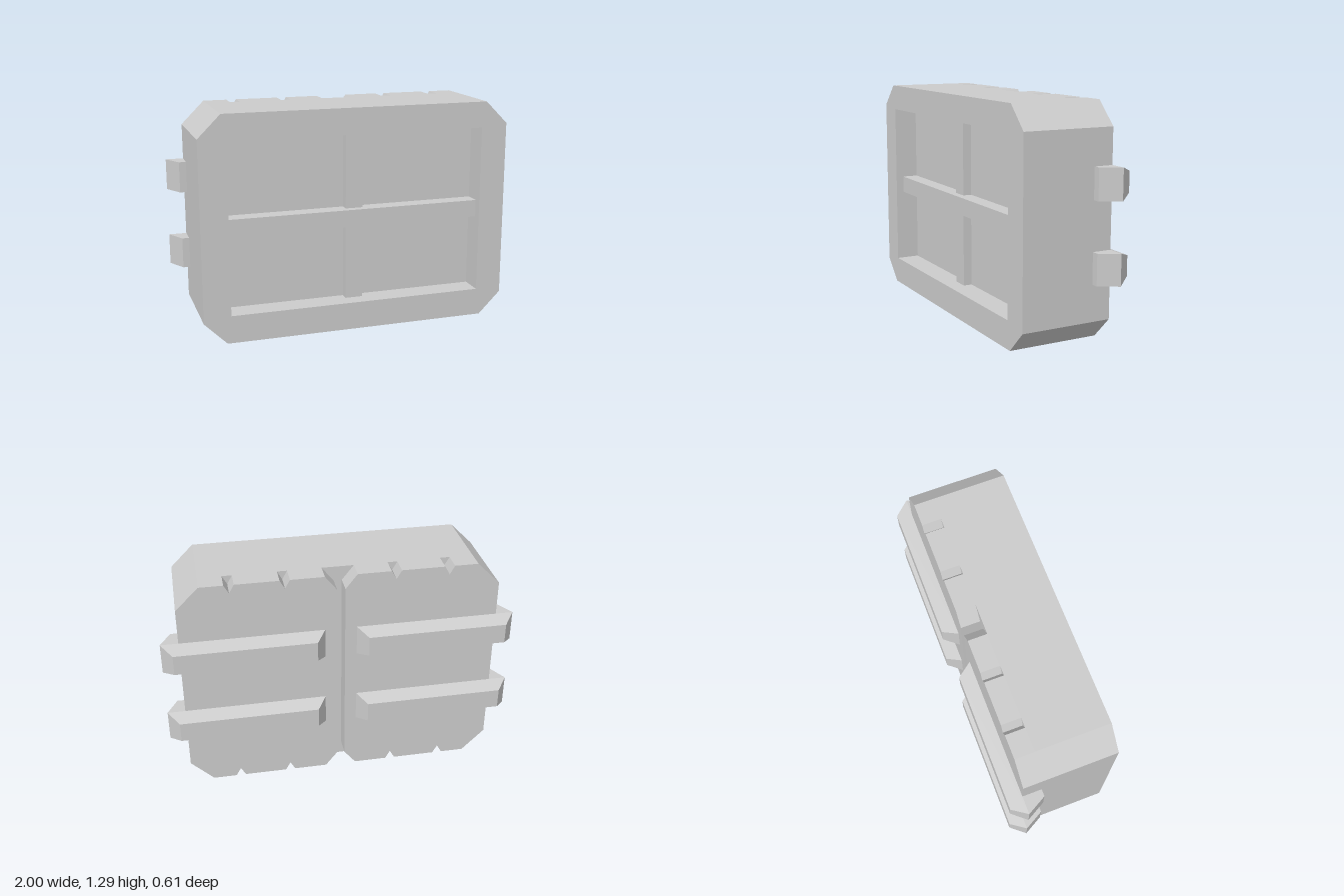
import * as THREE from 'three';

const H = 1.29, BACK = -0.225, GROOVE = -0.115, FLOOR = 0.165, FRONT = 0.305;

export function createModel() {
  const model = new THREE.Group();
  model.name = 'panelBlock';
  const material = new THREE.MeshStandardMaterial({ color: 0xcccccc, flatShading: true });

  const add = (name, geometry) => {
    const mesh = new THREE.Mesh(geometry, material);
    mesh.name = name;
    model.add(mesh);
    return mesh;
  };
  const shapeOf = (points) => new THREE.Shape(points.map(([x, y]) => new THREE.Vector2(x, y)));
  const slab = (shape, z0, z1) =>
    new THREE.ExtrudeGeometry(shape, { depth: z1 - z0, bevelEnabled: false }).translate(0, 0, z0);
  // Box between two z planes whose back (low z) rectangle differs from its front one
  const taperedBox = (z0, z1, backRect, frontRect) => {
    const g = new THREE.BoxGeometry(1, 1, 1);
    const p = g.attributes.position;
    for (let i = 0; i < p.count; i++) {
      const r = p.getZ(i) < 0 ? backRect : frontRect;
      p.setXYZ(i, p.getX(i) < 0 ? r[0] : r[1], p.getY(i) < 0 ? r[2] : r[3], p.getZ(i) < 0 ? z0 : z1);
    }
    g.computeVertexNormals();
    return g;
  };

  // Chamfered core and front frame
  const outline = () => shapeOf([
    [-0.77, 0], [0.77, 0], [0.9, 0.13], [0.9, H - 0.13],
    [0.77, H], [-0.77, H], [-0.9, H - 0.13], [-0.9, 0.13],
  ]);
  add('core', slab(outline(), GROOVE, FLOOR));
  const frame = outline();
  frame.holes.push(new THREE.Path([[-0.745, 0.16], [-0.745, 1.14], [0.745, 1.14], [0.745, 0.16]]
    .map(([x, y]) => new THREE.Vector2(x, y))));
  add('frontFrame', slab(frame, FLOOR, FRONT));

  // Cross bars in the front recess
  const bar = (name, w, h, y, z1) =>
    add(name, new THREE.BoxGeometry(w, h, z1 - FLOOR).translate(0, y, (FLOOR + z1) / 2));
  bar('horizontalBar', 1.49, 0.1, 0.65, 0.259);
  bar('upperVerticalBar', 0.1, 0.44, 0.92, 0.215);
  bar('lowerVerticalBar', 0.1, 0.44, 0.38, 0.215);

  // Back halves: V notches along the edges, flared groove between them
  const lower = [[0.023, 0.085], [0.09, 0]];
  for (const x of [0.308, 0.608]) lower.push([x - 0.028, 0], [x, 0.05], [x + 0.028, 0]);
  lower.push([0.77, 0], [0.9, 0.13]);
  const half = [...lower, ...lower.map(([x, y]) => [x, H - y]).reverse()];

  for (const [side, s] of [['left', 1], ['right', -1]]) {
    add(side + 'BackPlate', slab(shapeOf(half.map(([x, y]) => [x * s, y])), BACK, GROOVE));

    // Rails on the back, each hooking round the side
    const span = (a, b) => (s > 0 ? [a, b] : [-b, -a]);
    for (const [level, y] of [['Lower', 0.422], ['Upper', 0.872]]) {
      const rect = (a, b, h) => [...span(a, b), y - h, y + h];
      add(side + level + 'Rail', taperedBox(-0.308, BACK, rect(0.145, 0.937, 0.058), rect(0.09, 1, 0.088)));
      add(side + level + 'Hook', taperedBox(BACK, GROOVE, rect(0.9, 1, 0.088), rect(0.9, 0.94, 0.088)));
    }
  }
  return model;
}
